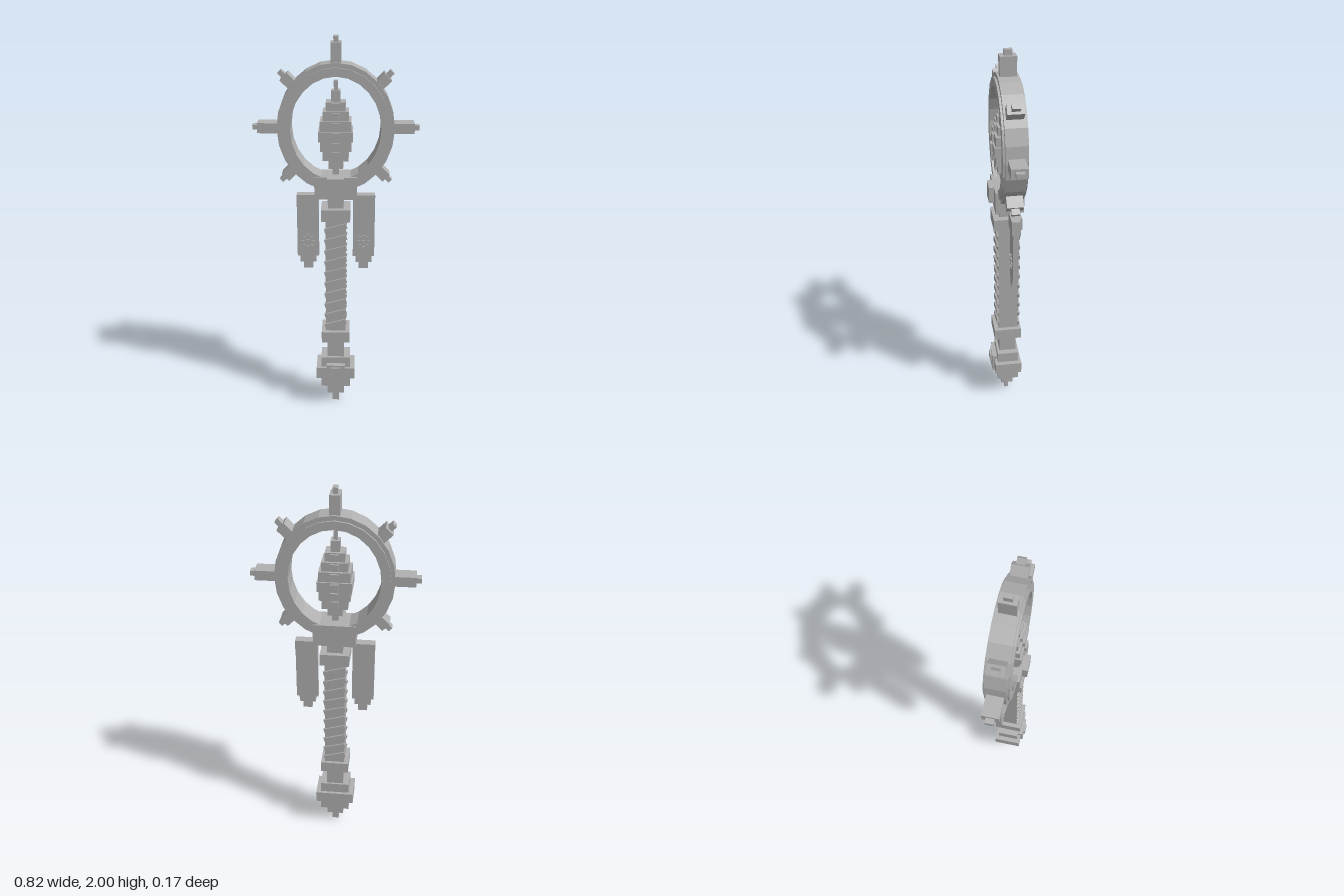
import * as THREE from 'three';

const grey = new THREE.MeshStandardMaterial({ color: 0xb0b0b0, flatShading: true });
grey.name = 'stone grey';

export function createModel() {
  const model = new THREE.Group();
  model.name = 'sceptre';

  function group(name) {
    const g = new THREE.Group();
    g.name = name;
    model.add(g);
    return g;
  }
  // Box from its lower and upper limits on each axis
  function box(parent, name, x0, x1, y0, y1, z0, z1) {
    const m = new THREE.Mesh(new THREE.BoxGeometry(x1 - x0, y1 - y0, z1 - z0), grey);
    m.position.set((x0 + x1) / 2, (y0 + y1) / 2, (z0 + z1) / 2);
    m.name = name;
    parent.add(m);
    return m;
  }

  // Pommel: stacked blocks, widest in the middle
  const pommel = group('pommel');
  box(pommel, 'pommelTip', -0.018, 0.018, 0, 0.058, -0.014, 0.008);
  box(pommel, 'pommelLower', -0.045, 0.045, 0.058, 0.116, -0.035, 0.03);
  box(pommel, 'pommelBody', -0.078, 0.078, 0.116, 0.296, -0.06, 0.053);
  box(pommel, 'pommelBand', -0.103, 0.103, 0.175, 0.238, -0.075, 0.068);
  box(pommel, 'pommelPlate', -0.05, 0.05, 0.16, 0.26, 0.04, 0.08);
  box(pommel, 'pommelStud', -0.024, 0.024, 0.205, 0.25, 0.07, 0.09);

  // Shaft with two collars
  const shaft = group('shaft');
  box(shaft, 'lowerNeck', -0.045, 0.045, 0.29, 0.4, -0.05, 0.04);
  box(shaft, 'lowerCollar', -0.074, 0.074, 0.397, 0.458, -0.075, 0.068);
  box(shaft, 'grip', -0.052, 0.052, 0.455, 1.09, -0.06, 0.045);
  box(shaft, 'upperCollar', -0.074, 0.074, 1.087, 1.15, -0.075, 0.068);
  box(shaft, 'upperNeck', -0.04, 0.04, 1.145, 1.21, -0.05, 0.037);

  // Slanted wrapping on the front and back of the grip
  const wraps = group('gripWraps');
  for (let i = 0; i < 10; i++) {
    for (const side of [1, -1]) {
      const strap = box(wraps, 'strap', -0.058, 0.058, -0.014, 0.014, -0.006, 0.006);
      strap.position.set(0, 0.5 + i * 0.0605, side > 0 ? 0.049 : -0.062);
      strap.rotation.z = side * 0.28;
    }
  }

  // Guard below the ring
  const guard = group('guard');
  box(guard, 'guardBlock', -0.106, 0.106, 1.205, 1.32, -0.078, 0.063);
  box(guard, 'guardPlate', -0.042, 0.042, 1.235, 1.32, 0.05, 0.088);

  // Hanging banners with stepped ends and a small flower of studs
  for (const s of [1, -1]) {
    const banner = group(s > 0 ? 'leftBanner' : 'rightBanner');
    banner.position.x = s * 0.144;
    box(banner, 'bannerCap', -0.056, 0.056, 1.13, 1.207, -0.047, -0.003);
    box(banner, 'bannerCloth', -0.056, 0.056, 0.87, 1.135, -0.038, -0.01);
    box(banner, 'bannerStep', -0.042, 0.042, 0.836, 0.87, -0.038, -0.01);
    box(banner, 'bannerEnd', -0.024, 0.024, 0.8, 0.836, -0.038, -0.01);
    for (let i = 0; i < 8; i++) {
      const a = i * Math.PI / 4;
      const x = 0.027 * Math.cos(a), y = 0.95 + 0.032 * Math.sin(a);
      box(banner, 'flowerStud', x - 0.007, x + 0.007, y - 0.007, y + 0.007, -0.011, -0.003);
    }
    box(banner, 'flowerCentre', -0.01, 0.01, 0.94, 0.96, -0.011, -0.003);
  }

  // Oval ring: a wide outer rim and a deeper inner rim
  const CY = 1.56, CZ = -0.01;
  const ring = group('ring');
  ring.position.set(0, CY, CZ);
  function ovalPoints(rx, ry) {
    const pts = [];
    for (let i = 0; i < 24; i++) {
      const a = i * Math.PI / 12;
      pts.push(new THREE.Vector2(rx * Math.cos(a), ry * Math.sin(a)));
    }
    return pts;
  }
  function rim(name, outX, outY, inX, inY, depth) {
    const shape = new THREE.Shape(ovalPoints(outX, outY));
    shape.holes.push(new THREE.Path(ovalPoints(inX, inY).reverse()));
    const geo = new THREE.ExtrudeGeometry(shape, { depth, bevelEnabled: false });
    geo.translate(0, 0, -depth / 2);
    const m = new THREE.Mesh(geo, grey);
    m.name = name;
    ring.add(m);
  }
  rim('outerRim', 0.288, 0.32, 0.245, 0.275, 0.1);
  rim('innerRim', 0.268, 0.298, 0.222, 0.256, 0.12);

  // Spikes around the ring: [angle in eighths, block end, tip end]
  const spikes = [[0, 0.385, 0.41], [1, 0.355, 0.385], [2, 0.412, 0.44], [3, 0.355, 0.385],
    [4, 0.385, 0.41], [5, 0.355, 0.385], [7, 0.355, 0.385]];
  for (const [k, end, tip] of spikes) {
    const spike = new THREE.Group();
    spike.name = 'spike';
    spike.rotation.z = k * Math.PI / 4;
    const start = k === 2 ? 0.3 : 0.27;
    box(spike, 'spikeBlock', start, end, -0.025, 0.025, -0.04, 0.04);
    box(spike, 'spikeTip', end, tip, -0.012, 0.012, -0.02, 0.02);
    ring.add(spike);
  }

  // Crystal of stacked layers: [bottom, top, half width, half depth]
  const crystal = group('crystal');
  crystal.position.z = -0.005;
  const layers = [
    [1.31, 1.355, 0.016, 0.016], [1.355, 1.4, 0.037, 0.033], [1.4, 1.45, 0.064, 0.05],
    [1.45, 1.5, 0.077, 0.062], [1.5, 1.55, 0.085, 0.07], [1.55, 1.6, 0.077, 0.062],
    [1.6, 1.645, 0.064, 0.05], [1.645, 1.69, 0.048, 0.038], [1.69, 1.745, 0.022, 0.024],
    [1.745, 1.79, 0.01, 0.01],
  ];
  layers.forEach(([y0, y1, w, d], i) => {
    box(crystal, 'crystalLayer', -w, w, y0, y1, -d, d);
    // Narrow ridge on the front and back of the larger layers
    if (i > 1 && i < 8) box(crystal, 'crystalRidge', -0.02, 0.02, y0 + 0.006, y1 - 0.006, -d - 0.01, d + 0.01);
  });

  return model;
}
